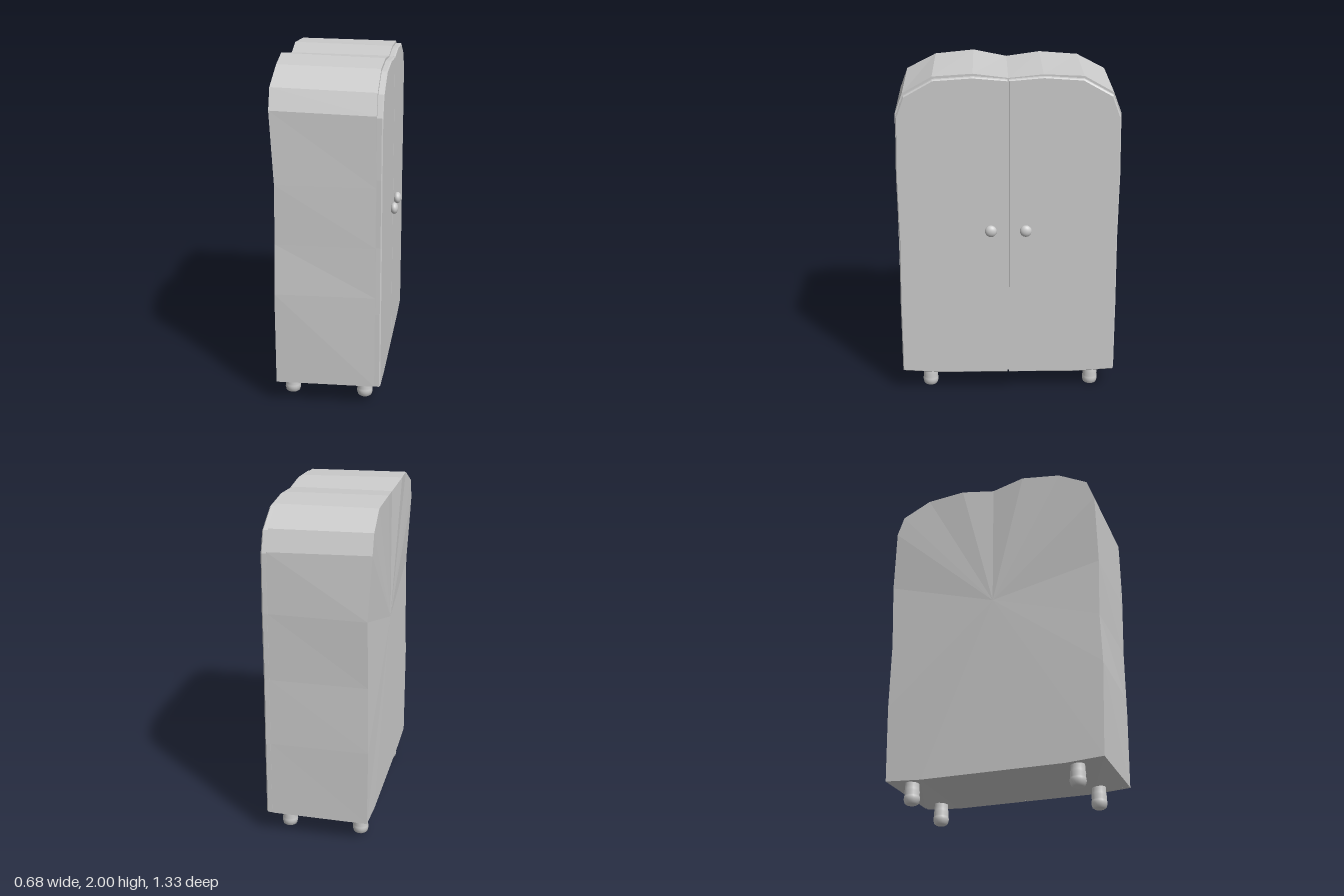
import * as THREE from 'three';

const material = new THREE.MeshStandardMaterial({ color: 0xcccccc });
const facetMaterial = new THREE.MeshStandardMaterial({ color: 0xcccccc, flatShading: true });

// Closed solid through rings of [x, y, z], counter-clockwise seen from +x, back to front
function loft(rings) {
  const pos = [];
  const tri = (...points) => points.forEach((p) => pos.push(...p));
  const centre = (ring) => [0, 1, 2].map((k) => ring.reduce((s, p) => s + p[k], 0) / ring.length);
  const n = rings[0].length;
  const back = rings[0], front = rings[rings.length - 1];
  const cBack = centre(back), cFront = centre(front);
  for (let i = 0; i < n; i++) {
    const j = (i + 1) % n;
    for (let r = 0; r < rings.length - 1; r++) {
      const a = rings[r], b = rings[r + 1];
      tri(a[i], a[j], b[j]);
      tri(a[i], b[j], b[i]);
    }
    tri(cBack, back[j], back[i]);
    tri(cFront, front[i], front[j]);
  }
  const geometry = new THREE.BufferGeometry();
  geometry.setAttribute('position', new THREE.Float32BufferAttribute(pos, 3));
  geometry.computeVertexNormals();
  return geometry;
}

function add(parent, name, geometry, mat, x = 0, y = 0, z = 0) {
  const mesh = new THREE.Mesh(geometry, mat);
  mesh.name = name;
  mesh.position.set(x, y, z);
  parent.add(mesh);
  return mesh;
}

// Wobbly back outline of the cabinet
const backRing = [
  [-0.31, 0.14, -0.65], [-0.315, 0.6, -0.655], [-0.31, 1.0, -0.648], [-0.305, 1.4, -0.663],
  [-0.325, 1.77, -0.642], [-0.325, 1.885, -0.6], [-0.32, 1.975, -0.43], [-0.33, 1.99, -0.2],
  [-0.315, 1.965, 0], [-0.34, 2.0, 0.2], [-0.325, 1.98, 0.43], [-0.33, 1.89, 0.605],
  [-0.33, 1.77, 0.65], [-0.305, 1.35, 0.657], [-0.31, 1.0, 0.65], [-0.315, 0.7, 0.663],
  [-0.315, 0.14, 0.65], [-0.315, 0.125, 0.43], [-0.315, 0.125, 0], [-0.315, 0.125, -0.43],
];

// Straighter front outline with the same number of points
const frontRing = [
  [0.26, 0.145, -0.648], [0.26, 0.6, -0.648], [0.26, 1.0, -0.645], [0.26, 1.4, -0.65],
  [0.26, 1.755, -0.645], [0.26, 1.875, -0.6], [0.26, 1.97, -0.43], [0.26, 1.98, -0.2],
  [0.26, 1.96, 0], [0.26, 1.985, 0.2], [0.26, 1.97, 0.43], [0.26, 1.875, 0.6],
  [0.26, 1.755, 0.645], [0.26, 1.35, 0.645], [0.26, 1.0, 0.645], [0.26, 0.7, 0.645],
  [0.26, 0.145, 0.645], [0.26, 0.128, 0.43], [0.26, 0.128, 0], [0.26, 0.128, -0.43],
];

// Outline of the door on the -z side, as [z, y]
const doorOutline = [
  [-0.004, 0.13], [-0.43, 0.13], [-0.643, 0.145], [-0.645, 0.6], [-0.64, 1.0], [-0.647, 1.4],
  [-0.64, 1.745], [-0.595, 1.865], [-0.43, 1.957], [-0.2, 1.972], [-0.004, 1.955],
];

function doorRing(x, inset, side) {
  const ring = doorOutline.map(([z, y]) => [
    x,
    y + (y < 1 ? inset : -inset),
    side * (z + (z < -0.3 ? inset : -inset * 0.3)),
  ]);
  return side < 0 ? ring.reverse() : ring;
}

export function createModel() {
  const wardrobe = new THREE.Group();
  wardrobe.name = 'wardrobe';

  add(wardrobe, 'cabinet', loft([backRing, frontRing]), facetMaterial);

  // Two doors with a narrow bevel, each with a round knob
  const knob = new THREE.SphereGeometry(0.035, 20, 14);
  for (const side of [1, -1]) {
    const label = side > 0 ? 'right' : 'left';
    const rings = [[0.262, 0], [0.288, 0], [0.295, 0.006]].map(([x, inset]) => doorRing(x, inset, side));
    add(wardrobe, label + 'Door', loft(rings), facetMaterial);
    add(wardrobe, label + 'Knob', knob, material, 0.312, 1.06, -0.102 * side).scale.x = 0.68;
  }

  // Turned, slightly bulging feet
  const profile = [
    [0, 0], [0.03, 0], [0.041, 0.008], [0.047, 0.03], [0.046, 0.045], [0.043, 0.055],
    [0.045, 0.075], [0.042, 0.09], [0.041, 0.11], [0.04, 0.14],
  ].map(([r, y]) => new THREE.Vector2(r, y));
  const foot = new THREE.LatheGeometry(profile, 20);
  for (const x of [-0.247, 0.187]) {
    for (const z of [0.48, -0.51]) add(wardrobe, 'foot', foot, material, x, 0.005, z);
  }
  return wardrobe;
}
